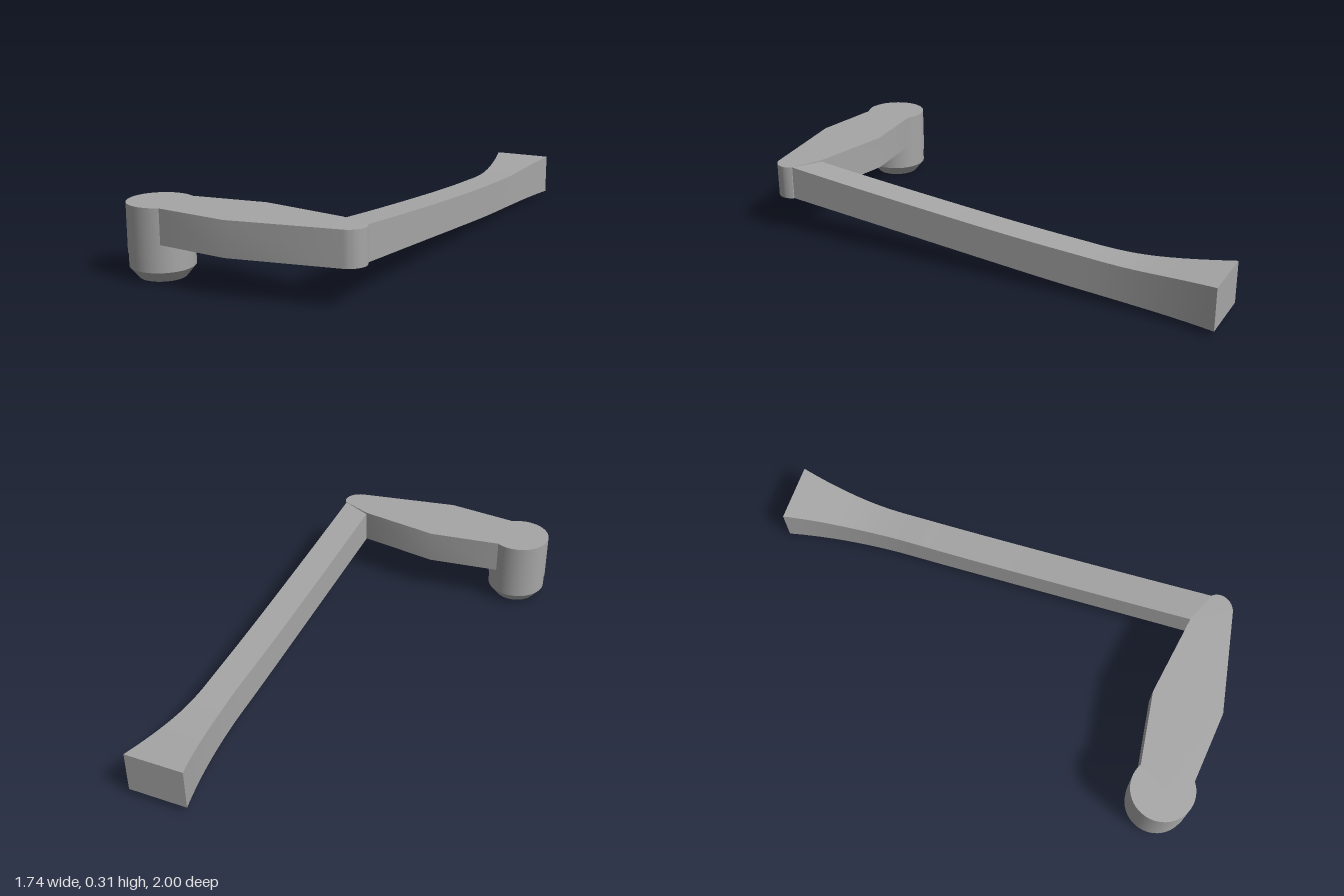
import * as THREE from 'three';
import { toCreasedNormals } from 'three/addons/utils/BufferGeometryUtils.js';

const grey = new THREE.MeshStandardMaterial({ color: 0xa6a6a6 });
grey.name = 'grey';

const curve = (points) => new THREE.SplineCurve(points.map(([s, y]) => new THREE.Vector2(s, y)));

// Long arm: rectangular sections swept along a straight plan axis,
// dropping gently in height and flaring at the far end.
function longArmGeometry() {
  const along = new THREE.Vector3(0.352, 0, -0.936);
  const across = new THREE.Vector3(0.936, 0, 0.352);
  const stations = [-0.82, -0.4, 0.137, 0.5, 0.8, 1.156];
  const profile = (heights) => curve(stations.map((s, i) => [s, heights[i]]));
  const top = profile([0.309, 0.266, 0.217, 0.191, 0.179, 0.206]);
  const bottom = profile([0.163, 0.125, 0.076, 0.045, 0.028, 0.025]);

  const steps = 40;
  const rings = [];
  for (let i = 0; i <= steps; i++) {
    const t = top.getPoint(i / steps);
    const s = t.x;
    const low = bottom.getPoint(i / steps).y;
    const flare = Math.max(0, (s - 0.6) / 0.556);
    const half = 0.067 + 0.064 * flare * flare;
    const centre = 0.365 - 0.006 * flare;
    const corner = (side, y) => along.clone().multiplyScalar(s)
      .addScaledVector(across, centre + side * half).setY(y);
    rings.push([corner(-1, low), corner(1, low), corner(1, t.y), corner(-1, t.y)]);
  }

  const points = [];
  for (let i = 0; i < steps; i++) {
    const p = rings[i], q = rings[i + 1];
    for (let a = 0; a < 4; a++) {
      const b = (a + 1) % 4;
      points.push(p[a], q[a], q[b], p[a], q[b], p[b]);
    }
  }
  const [s, e] = [rings[0], rings[steps]];
  points.push(s[0], s[1], s[2], s[0], s[2], s[3]);
  points.push(e[0], e[2], e[1], e[0], e[3], e[2]);
  return toCreasedNormals(new THREE.BufferGeometry().setFromPoints(points), 0.5);
}

// Short arm: a flat plate with a rounded elbow, drawn in plan.
function shortArmGeometry() {
  const shape = new THREE.Shape();
  shape.moveTo(-0.735, -0.63);
  shape.lineTo(-0.705, -0.763);
  shape.lineTo(-0.42, -0.908);
  shape.lineTo(0.035, -0.996);
  shape.bezierCurveTo(0.08, -1.006, 0.135, -0.97, 0.121, -0.915);
  shape.lineTo(0.015, -0.81);
  shape.lineTo(-0.31, -0.62);
  shape.lineTo(-0.63, -0.543);
  shape.closePath();
  const geometry = new THREE.ExtrudeGeometry(shape, { depth: 0.147, bevelEnabled: false, curveSegments: 16 });
  geometry.rotateX(-Math.PI / 2).translate(0, 0.162, 0);
  return toCreasedNormals(geometry, 0.45);
}

export function createModel() {
  const model = new THREE.Group();
  const add = (name, geometry, parent = model) => {
    const mesh = new THREE.Mesh(geometry, grey);
    mesh.name = name;
    parent.add(mesh);
    return mesh;
  };

  add('longArm', longArmGeometry());
  add('shortArm', shortArmGeometry());

  // Upright post with a slightly narrower foot and a chamfered tip
  const post = new THREE.Group();
  post.name = 'post';
  post.position.set(-0.735, 0, 0.628);
  model.add(post);
  const sections = [
    ['postBody', 0.137, 0.137, 0.105, 0.309],
    ['postFoot', 0.134, 0.134, 0.046, 0.105],
    ['postTip', 0.134, 0.097, 0, 0.046],
  ];
  for (const [name, topRadius, bottomRadius, low, high] of sections) {
    const part = add(name, new THREE.CylinderGeometry(topRadius, bottomRadius, high - low, 48), post);
    part.position.y = (low + high) / 2;
  }
  return model;
}
